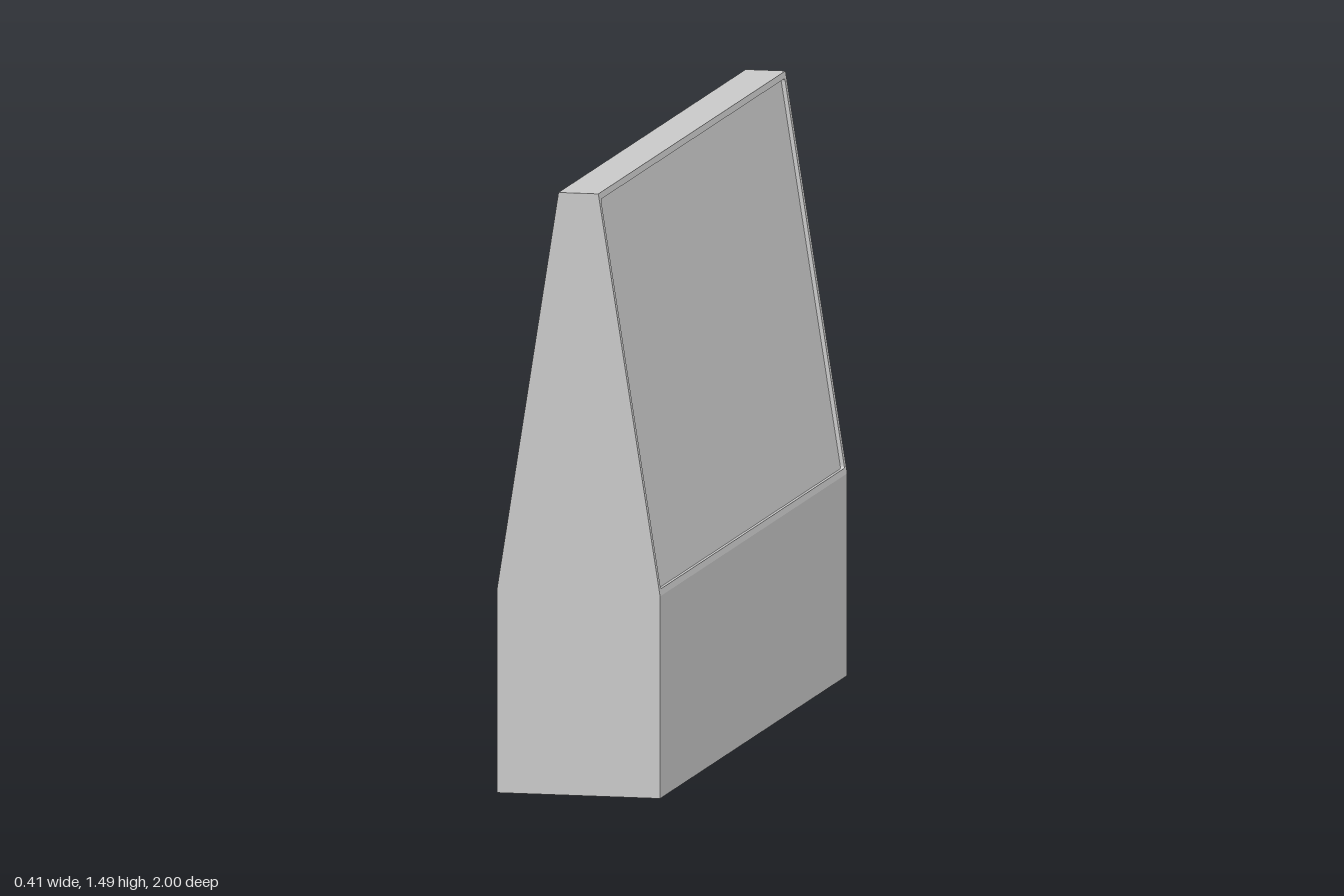
import * as THREE from 'three';

const BOTTOM = 0.205, TOP = 0.05, KNEE = 0.5, HEIGHT = 1.49, HALF = 1, DEPTH = 0.01;

export function createModel() {
  const group = new THREE.Group();
  const concrete = new THREE.MeshStandardMaterial({ color: 0xcccccc });
  concrete.name = 'light grey';

  const length = Math.hypot(BOTTOM - TOP, HEIGHT - KNEE);
  const s = (BOTTOM - TOP) / length, c = (HEIGHT - KNEE) / length;
  const inset = DEPTH / c;

  // Body: straight base and tapering upper part, set back where the frames sit
  const half = [[BOTTOM, 0], [BOTTOM, KNEE], [BOTTOM - inset, KNEE], [TOP - inset, HEIGHT]];
  const outline = [...half, ...half.map(([x, y]) => [-x, y]).reverse()];
  const profile = new THREE.Shape(outline.map(([x, y]) => new THREE.Vector2(x, y)));
  const bodyGeometry = new THREE.ExtrudeGeometry(profile, { depth: 2 * HALF, bevelEnabled: false });
  bodyGeometry.translate(0, 0, -HALF);
  const body = new THREE.Mesh(bodyGeometry, concrete);
  body.name = 'body';
  group.add(body);

  // Rim around the shallow recess on each sloping face
  const rim = new THREE.Shape([[-HALF, 0], [HALF, 0], [HALF, length], [-HALF, length]]
    .map(([x, y]) => new THREE.Vector2(x, y)));
  const u = HALF - 0.018, v0 = 0.016, v1 = length - 0.016, r = 0.007;
  const hole = new THREE.Path();
  hole.moveTo(-u + r, v0);
  hole.lineTo(u - r, v0);
  hole.quadraticCurveTo(u, v0, u, v0 + r);
  hole.lineTo(u, v1 - r);
  hole.quadraticCurveTo(u, v1, u - r, v1);
  hole.lineTo(-u + r, v1);
  hole.quadraticCurveTo(-u, v1, -u, v1 - r);
  hole.lineTo(-u, v0 + r);
  hole.quadraticCurveTo(-u, v0, -u + r, v0);
  rim.holes.push(hole);
  const rimGeometry = new THREE.ExtrudeGeometry(rim, { depth: DEPTH, bevelEnabled: false, curveSegments: 3 });

  // Slant the outer edges so they meet the level top and base
  const p = rimGeometry.attributes.position;
  for (let i = 0; i < p.count; i++) {
    const y = p.getY(i);
    if (p.getZ(i) < DEPTH / 2 && (y < 1e-4 || y > length - 1e-4)) p.setY(i, y + DEPTH * s / c);
  }
  rimGeometry.computeVertexNormals();

  // Lay the rim on the slope
  const place = new THREE.Matrix4().makeBasis(
    new THREE.Vector3(0, 0, -1), new THREE.Vector3(-s, c, 0), new THREE.Vector3(c, s, 0));
  place.setPosition(BOTTOM - DEPTH * c, KNEE - DEPTH * s, 0);
  rimGeometry.applyMatrix4(place);

  for (const [name, turn] of [['leftRim', 0], ['rightRim', Math.PI]]) {
    const mesh = new THREE.Mesh(rimGeometry, concrete);
    mesh.name = name;
    mesh.rotation.y = turn;
    group.add(mesh);
  }
  return group;
}
